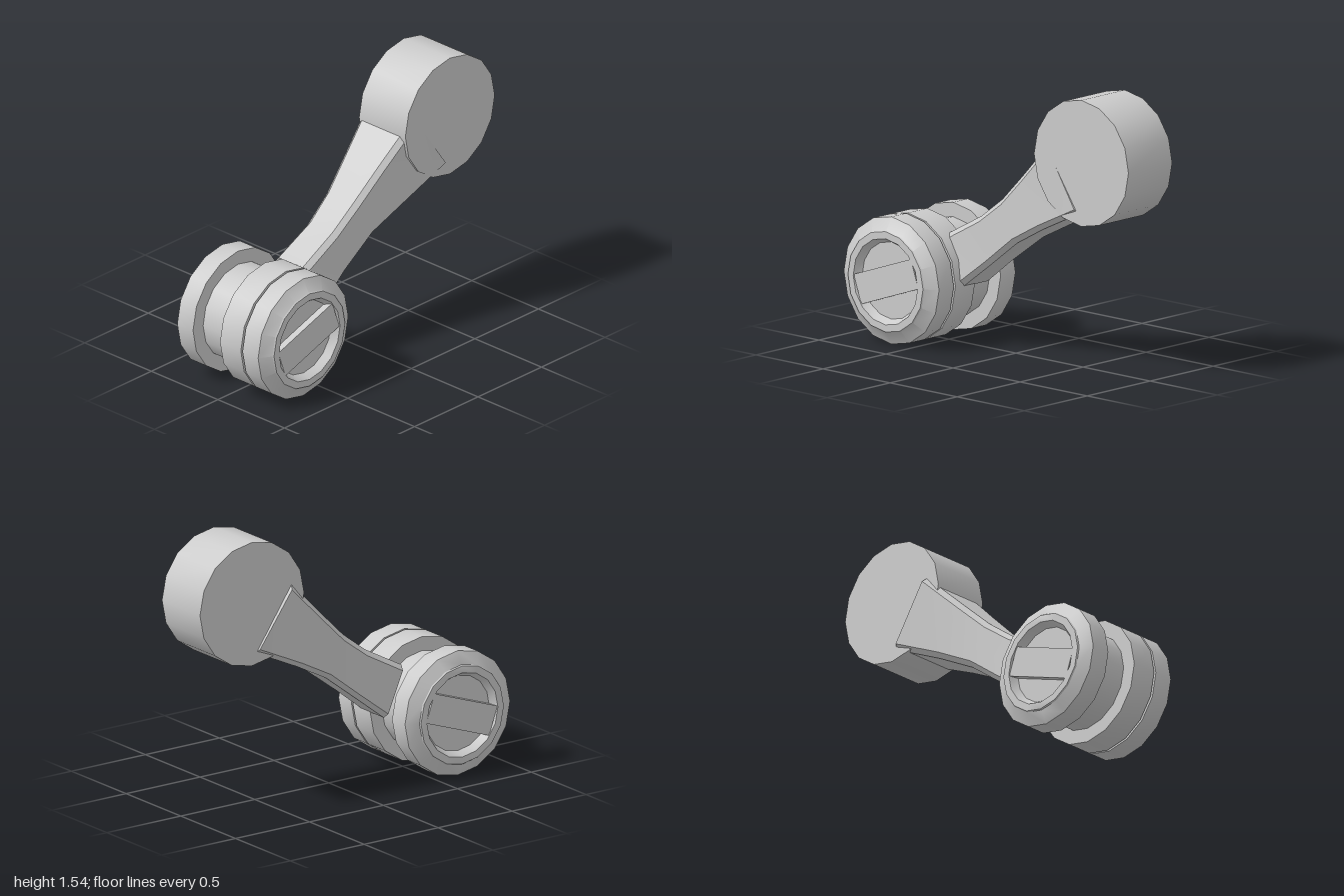
import * as THREE from 'three';
import { toCreasedNormals } from 'three/addons/utils/BufferGeometryUtils.js';

const SIDES = 16;
const HUB = { y: 0.355, z: 0.645 };
const DRUM = { y: 1.187, z: -0.648 };

function part(name, geometry, group) {
  const mesh = new THREE.Mesh(
    toCreasedNormals(geometry, 0.5),
    new THREE.MeshStandardMaterial({ color: 0xcccccc })
  );
  mesh.name = name;
  group.add(mesh);
  return mesh;
}

// Lathe around the x axis from [x, radius] pairs, running from -x to +x
function turned(profile) {
  const points = profile.map(([x, r]) => new THREE.Vector2(r, x));
  return new THREE.LatheGeometry(points, SIDES).rotateZ(-Math.PI / 2);
}

// Arm skin: chamfered rectangles lofted along the arm, capped at both ends
function armGeometry() {
  // top [z, y], bottom [z, y], x range at top, x range at bottom
  const sections = [
    { t: [0.42, 0.62], b: [0.30, 0.34], xt: [-0.125, 0.11], xb: [-0.125, 0.13] },
    { t: [0.18, 0.75], b: [0.12, 0.48], xt: [-0.115, 0.11], xb: [-0.12, 0.115] },
    { t: [0.02, 0.87], b: [-0.10, 0.645], xt: [-0.13, 0.112], xb: [-0.14, 0.125] },
    { t: [-0.15, 1.03], b: [-0.32, 0.76], xt: [-0.16, 0.132], xb: [-0.17, 0.155] },
    { t: [-0.38, 1.25], b: [-0.62, 0.90], xt: [-0.2, 0.168], xb: [-0.19, 0.182] },
  ];
  const c = 0.028;
  const pos = [];
  const idx = [];
  for (const { t, b, xt, xb } of sections) {
    const k = c / Math.hypot(t[0] - b[0], t[1] - b[1]);
    const outline = [
      [xb[0] + c, 0], [xb[1] - c, 0], [xb[1], k], [xt[1], 1 - k],
      [xt[1] - c, 1], [xt[0] + c, 1], [xt[0], 1 - k], [xb[0], k],
    ];
    for (const [x, f] of outline) {
      pos.push(x, b[1] + (t[1] - b[1]) * f, b[0] + (t[0] - b[0]) * f);
    }
  }
  const last = (sections.length - 1) * 8;
  for (let s = 0; s < last; s += 8) {
    for (let i = 0; i < 8; i++) {
      const a = s + i;
      const b = s + ((i + 1) % 8);
      idx.push(a, a + 8, b, b, a + 8, b + 8);
    }
  }
  for (let i = 1; i < 7; i++) {
    idx.push(0, i, i + 1, last, last + i + 1, last + i);
  }
  const geometry = new THREE.BufferGeometry();
  geometry.setAttribute('position', new THREE.Float32BufferAttribute(pos, 3));
  geometry.setIndex(idx);
  return geometry;
}

export function createModel() {
  const model = new THREE.Group();
  model.name = 'crankArm';

  // Pivot hub: spool with chamfered flanges and dished ends
  const hub = new THREE.Group();
  hub.name = 'pivotHub';
  hub.position.set(0, HUB.y, HUB.z);
  model.add(hub);

  part('spool', turned([
    [-0.305, 0], [-0.305, 0.215], [-0.35, 0.24], [-0.35, 0.28], [-0.342, 0.285],
    [-0.305, 0.355], [-0.187, 0.355], [-0.187, 0.275],
    [0.185, 0.275], [0.185, 0.355], [0.302, 0.355],
    [0.342, 0.285], [0.35, 0.28], [0.35, 0.24], [0.305, 0.215], [0.305, 0],
  ]), hub);

  // Collar that carries the arm on the spool
  part('armCollar', turned([
    [0.016, 0.26], [0.016, 0.355], [0.172, 0.355], [0.172, 0.26],
  ]), hub);

  // Raised grip bars across the dished ends
  for (const side of [-1, 1]) {
    const bar = part('gripBar', new THREE.BoxGeometry(0.05, 0.168, 0.45), hub);
    bar.position.x = side * 0.32;
    bar.rotation.x = 0.337;
  }

  // Arm and the end drum
  part('arm', armGeometry(), model);
  const drum = part('endDrum', turned([
    [-0.175, 0], [-0.175, 0.352], [0.172, 0.352], [0.172, 0],
  ]), model);
  drum.position.set(0, DRUM.y, DRUM.z);

  return model;
}
